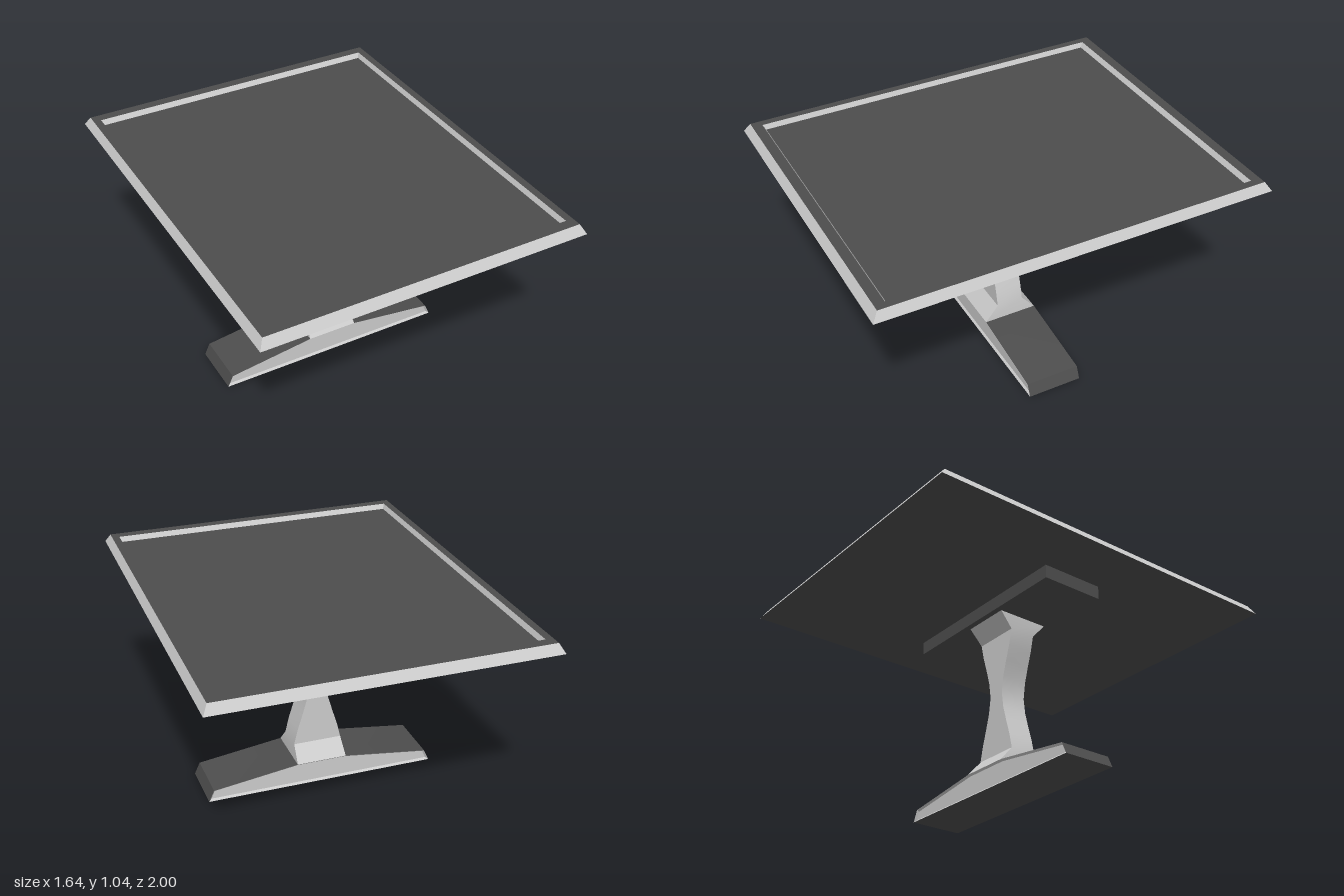
import * as THREE from 'three';
import { toCreasedNormals } from 'three/addons/utils/BufferGeometryUtils.js';

const light = new THREE.MeshStandardMaterial({ color: 0xcccccc });
const dark = new THREE.MeshStandardMaterial({ color: 0x4d4d4d });

// Horizontal rectangle, counter-clockwise seen from above
const rect = (hx, hz, y) => [[hx, y, hz], [hx, y, -hz], [-hx, y, -hz], [-hx, y, hz]];

// Closed skin running through loops of equal point count
function skin(loops) {
  const pos = [];
  for (let k = 0; k < loops.length - 1; k++) {
    const a = loops[k], b = loops[k + 1], n = a.length;
    for (let i = 0; i < n; i++) {
      const j = (i + 1) % n;
      pos.push(...a[i], ...a[j], ...b[j], ...a[i], ...b[j], ...b[i]);
    }
  }
  return toGeometry(pos);
}

// Convex flat face from one loop
function cap(loop) {
  const pos = [];
  for (let i = 1; i < loop.length - 1; i++) pos.push(...loop[0], ...loop[i], ...loop[i + 1]);
  return toGeometry(pos);
}

function toGeometry(pos) {
  const g = new THREE.BufferGeometry();
  g.setAttribute('position', new THREE.Float32BufferAttribute(pos, 3));
  return toCreasedNormals(g, 0.5);
}

function add(parent, name, geometry, material) {
  const mesh = new THREE.Mesh(geometry, material);
  mesh.name = name;
  parent.add(mesh);
  return mesh;
}

function group(parent, name) {
  const g = new THREE.Group();
  g.name = name;
  parent.add(g);
  return g;
}

export function createModel() {
  const model = new THREE.Group();
  model.name = 'pedestalTable';

  // Table top: bevelled edge, raised border and recessed centre panel
  const top = group(model, 'tableTop');
  const under = rect(0.82, 1, 1), edge = rect(0.795, 0.97, 1.045);
  const inner = rect(0.757, 0.92, 1.045), floor = rect(0.747, 0.906, 1.02);
  add(top, 'bevelledEdge', skin([under, edge]), light);
  add(top, 'topBorder', skin([edge, inner]), dark);
  add(top, 'recessWall', skin([inner, floor]), light);
  add(top, 'centrePanel', cap(floor), dark);
  add(top, 'underside', cap([...under].reverse()), dark);

  // Support block under the top
  const block = add(model, 'supportBlock', new THREE.BoxGeometry(1.035, 0.07, 0.34), dark);
  block.position.y = 0.965;

  // Waisted column, flaring in depth at both ends: [y, half width, half depth]
  const sections = [
    [0.12, 0.13, 0.14], [0.2, 0.125, 0.07], [0.28, 0.106, 0.07], [0.36, 0.081, 0.07],
    [0.44, 0.058, 0.07], [0.525, 0.046, 0.07], [0.61, 0.058, 0.07], [0.69, 0.081, 0.07],
    [0.77, 0.106, 0.07], [0.85, 0.125, 0.07], [0.93, 0.13, 0.14],
  ];
  add(model, 'column', skin(sections.map(([y, w, d]) => rect(w, d, y))), light);

  // Foot: dark outer walls with a light, slightly inset panel on each face
  const foot = group(model, 'foot');
  const outline = [[-0.6, 0], [0.6, 0], [0.573, 0.06], [0.13, 0.12], [-0.13, 0.12], [-0.573, 0.06]];
  const inset = [[-0.586, 0.01], [0.586, 0.01], [0.567, 0.052], [0.128, 0.111], [-0.128, 0.111], [-0.567, 0.052]];
  const atDepth = (points, z) => points.map(([x, y]) => [x, y, z]);
  add(foot, 'footWalls', skin([atDepth(outline, -0.14), atDepth(outline, 0.14)]), dark);
  for (const side of ['front', 'back']) {
    const face = group(foot, side + 'FootFace');
    add(face, 'footRim', skin([atDepth(outline, 0.14), atDepth(inset, 0.13)]), light);
    add(face, 'footPanel', cap(atDepth(inset, 0.13)), light);
    if (side === 'back') face.rotation.y = Math.PI;
  }

  return model;
}
